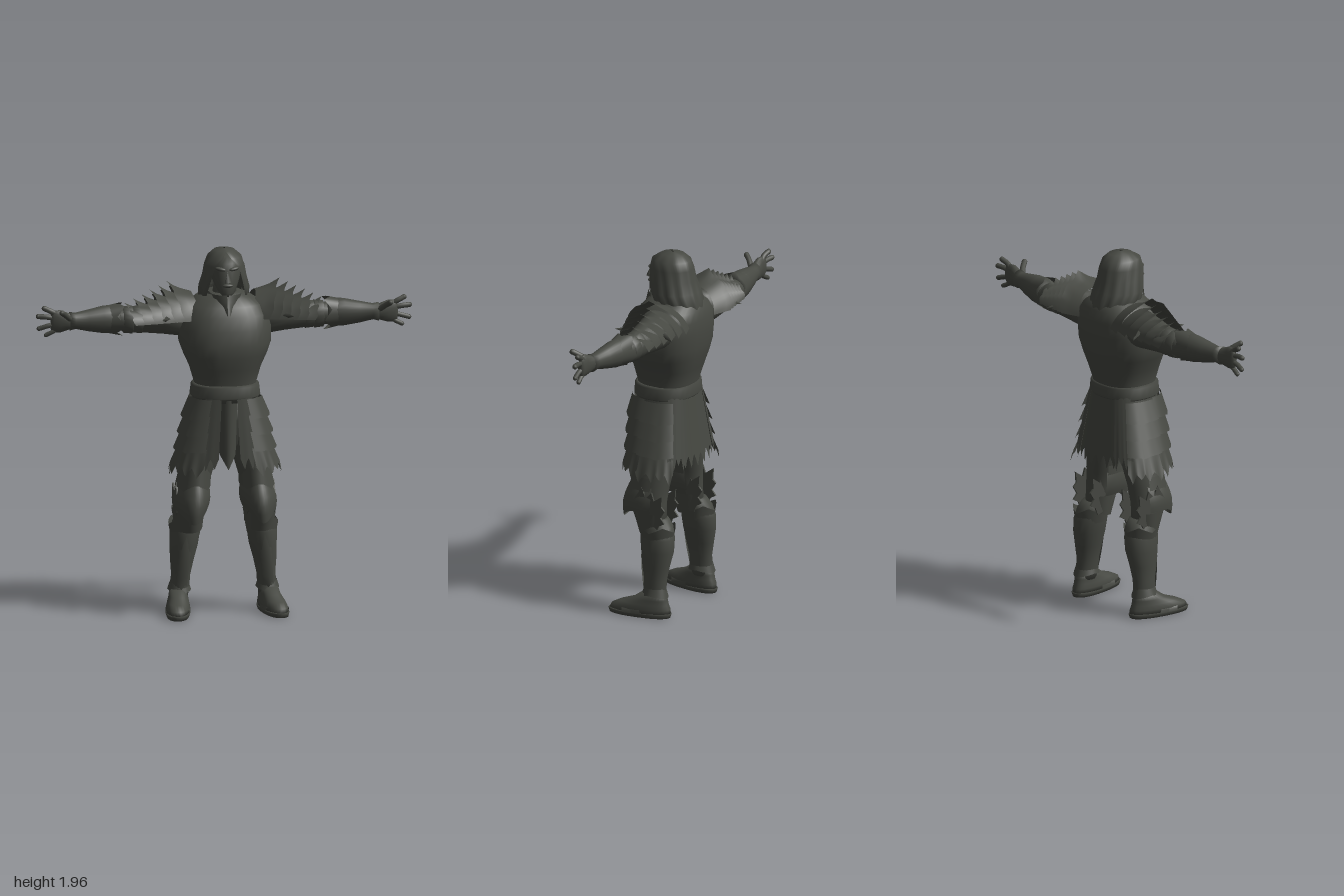
import * as THREE from 'three';

const steel = new THREE.MeshStandardMaterial({ color: 0x464842, side: THREE.DoubleSide });
steel.name = 'dark steel';
const { sin, cos, PI, abs, max, pow, sign } = Math;
const lerp = THREE.MathUtils.lerp;
const rad = THREE.MathUtils.degToRad;

function add(parent, name, geo) {
  const m = new THREE.Mesh(geo, steel);
  m.name = name;
  parent.add(m);
  return m;
}

// Curved sheet: fn(u, v) returns [x, y, z]
function sheet(nu, nv, fn) {
  const pos = [], idx = [];
  for (let j = 0; j <= nv; j++) for (let i = 0; i <= nu; i++) pos.push(...fn(i / nu, j / nv));
  for (let j = 0; j < nv; j++) for (let i = 0; i < nu; i++) {
    const a = j * (nu + 1) + i, b = a + nu + 1;
    idx.push(a, b, a + 1, a + 1, b, b + 1);
  }
  const g = new THREE.BufferGeometry();
  g.setAttribute('position', new THREE.Float32BufferAttribute(pos, 3));
  g.setIndex(idx);
  g.computeVertexNormals();
  return g;
}

// Closed body through elliptical sections [t, centreA, centreB, radiusA, radiusB]
function loft(sections, axis = 'y', n = 20, power = 1) {
  const pos = [], idx = [], rows = sections.length;
  const put = (t, a, b) => (axis === 'y' ? pos.push(a, t, b) : pos.push(t, a, b));
  const tri = (a, b, c) => (axis === 'y' ? idx.push(a, b, c) : idx.push(a, c, b));
  for (const [t, ca, cb, ra, rb] of sections) for (let i = 0; i < n; i++) {
    const q = i / n * 2 * PI, c = cos(q), s = sin(q);
    put(t, ca + ra * sign(c) * pow(abs(c), power), cb + rb * sign(s) * pow(abs(s), power));
  }
  for (const k of [0, rows - 1]) put(...sections[k].slice(0, 3));
  for (let j = 0; j < rows - 1; j++) for (let i = 0; i < n; i++) {
    const a = j * n + i, b = j * n + (i + 1) % n;
    tri(a, a + n, b);
    tri(b, a + n, b + n);
  }
  for (let i = 0; i < n; i++) {
    const k = (i + 1) % n, top = (rows - 1) * n;
    tri(rows * n, i, k);
    tri(rows * n + 1, top + k, top + i);
  }
  const g = new THREE.BufferGeometry();
  g.setAttribute('position', new THREE.Float32BufferAttribute(pos, 3));
  g.setIndex(idx);
  g.computeVertexNormals();
  return g;
}

// Triangle wave 0..1 for torn and pointed edges
const zig = (u, n) => 1 - abs(((u * n) % 1) * 2 - 1);

// Skirt surface; angle measured from the front towards +x
function skirtPoint(deg, y, out) {
  const f = (1.2 - y) / 0.4, a = rad(deg), zf = 0.185 + 0.005 * f, zb = -0.13 - 0.045 * f;
  const round = (v) => sign(v) * pow(abs(v), 0.8);
  return [(0.175 + 0.085 * f + out) * round(sin(a)), y,
    (zf + zb) / 2 + ((zf - zb) / 2 + out) * round(cos(a))];
}
function skirtPanel(parent, name, a0, a1, y0, y1, out0, out1, teeth, depth) {
  add(parent, name, sheet(24, 5, (u, v) => skirtPoint(lerp(a0, a1, u),
    lerp(y0, y1 - depth * zig(u, teeth) * (0.75 + 0.25 * sin(u * 17)), v), lerp(out0, out1, v))));
}

function buildTorso(g) {
  const rings = [[1.15, .165, .165, -.12], [1.25, .165, .175, -.13], [1.33, .188, .195, -.155],
    [1.4, .22, .21, -.175], [1.46, .242, .213, -.187], [1.54, .245, .2, -.193], [1.61, .235, .175, -.19],
    [1.66, .2, .15, -.175], [1.7, .14, .115, -.15], [1.725, .08, .07, -.11]];
  add(g, 'cuirass', loft(rings.map(([y, r, f, b]) => [y, 0, (f + b) / 2, r, (f - b) / 2]), 'y', 32, 0.85));
  add(g, 'breastplateRidge', sheet(2, 8, (u, v) => [(u - .5) * .06, lerp(1.27, 1.66, v),
    lerp(.168, .14, v) + .045 * sin(v * PI) + (u === .5 ? .008 : -.008)]));
  add(g, 'belt', loft([[1.17, 0, .025, .175, .158], [1.18, 0, .025, .185, .165],
    [1.235, 0, .025, .178, .162], [1.245, 0, .025, .165, .15]], 'y', 32, .85));
  add(g, 'gorget', sheet(32, 2, (u, v) => {
    const a = rad(lerp(8, 352, u)), r = lerp(.12, .085, v);
    return [r * 1.1 * sin(a), lerp(1.65, 1.74, v) - .03 * max(0, cos(a)), -.01 + r * cos(a) * 1.25];
  }));
  for (const s of [-1, 1]) add(g, 'collarFlap', sheet(3, 3, (u, v) => [s * (.005 + .075 * u * (.3 + .7 * v)),
    lerp(1.62, 1.725, v), lerp(.172, .135, v) - .05 * u * u]));
  add(g, 'pelvis', loft([[.86, 0, 0, .05, .06], [.92, 0, 0, .15, .1], [1.05, 0, .01, .17, .12], [1.18, 0, .02, .16, .13]]));
}

function buildHead(g) {
  add(g, 'neck', loft([[1.66, 0, 0, .07, .07], [1.78, 0, .02, .058, .06]]));
  add(g, 'face', loft([[1.715, 0, .105, .02, .02], [1.735, 0, .09, .042, .045], [1.77, 0, .065, .06, .068],
    [1.81, 0, .045, .075, .085], [1.85, 0, .03, .082, .092], [1.89, 0, .02, .085, .094], [1.925, 0, .01, .07, .08]]));
  const nose = add(g, 'nose', new THREE.ConeGeometry(.018, .065, 6));
  nose.position.set(0, 1.825, .134);
  nose.rotation.x = -.2;
  const mouth = add(g, 'mouth', new THREE.SphereGeometry(.024, 12, 8));
  mouth.scale.set(1.2, .45, .6);
  mouth.position.set(0, 1.776, .128);
  for (const s of [-1, 1]) {
    const brow = add(g, 'brow', new THREE.SphereGeometry(.03, 12, 8));
    brow.scale.set(1, .35, .5);
    brow.position.set(s * .036, 1.862, .108);
    brow.rotation.set(0, s * .4, s * .15);
  }
  // Long hair parted over the face, with ragged locks at the hem
  const hair = [[1.955, .005, .01, -.01], [1.945, .055, .06, -.07], [1.915, .09, .11, -.105], [1.87, .105, .125, -.12],
    [1.81, .115, .125, -.13], [1.75, .132, .115, -.15], [1.7, .132, .1, -.168], [1.665, .115, .07, -.17]];
  add(g, 'hair', sheet(48, 7, (u, v) => {
    const k = Math.round(v * 7), [y, r, f, b] = hair[k];
    const a = rad(lerp([0, 0, 14, 36, 44, 46, 52, 62][k], 360 - [0, 0, 14, 36, 44, 46, 52, 62][k], u));
    const w = 1 + .035 * v * sin(u * 60);
    return [r * w * sin(a), y - (k === 7 ? .04 * zig(u, 12) : 0), (f + b) / 2 + (f - b) / 2 * w * cos(a)];
  }));
}

function buildArm(side) {
  add(side, 'upperArm', loft([[.2, 1.58, -.03, .1, .1], [.32, 1.58, -.04, .085, .085], [.44, 1.575, -.045, .07, .065],
    [.53, 1.575, -.045, .06, .058], [.6, 1.58, -.04, .055, .055]], 'x'));
  // Overlapping shoulder lames, each with a spiked rim
  for (let k = 0; k < 6; k++) {
    const t = k / 5, x0 = .135 + .052 * k, ry = lerp(.15, .072, t), rz = lerp(.145, .085, t);
    add(side, 'shoulderLame', sheet(28, 4, (u, v) => {
      const a = rad(lerp(5, 172, u)), spike = v * v * (pow(zig(u, 1), 6) * .02 + .01 * zig(u, 5));
      const r = lerp(.94, 1.1, v) + (v === 1 ? .04 * zig(u, 3) : 0);
      return [x0 + .1 * v + .035 * sin(a) * (1 - t) + spike - .02 * (1 - sin(a)),
        1.575 + (ry * r + spike) * sin(a) - .02 * t, -.045 + rz * r * cos(a) * (1 + .12 * v)];
    }));
  }
  for (const z of [.12, -.2]) {
    const spike = add(side, 'shoulderSpike', new THREE.ConeGeometry(.02, .08, 4));
    spike.position.set(.33, 1.6, z * .9);
    spike.rotation.set(z > 0 ? 1.5 : -1.8, 0, -.5);
  }
  for (const x of [.4, .45, .5]) add(side, 'armLame', loft([[x - .025, 1.575, -.045, .062, .06],
    [x - .015, 1.575, -.045, .075, .07], [x + .03, 1.575, -.045, .07, .065], [x + .035, 1.575, -.045, .05, .05]], 'x'));
  // Vambrace with a flared, pointed cuff
  add(side, 'vambrace', loft([[.55, 1.58, -.04, .06, .055], [.57, 1.583, -.038, .077, .066], [.64, 1.583, -.03, .073, .062],
    [.72, 1.583, -.018, .058, .05], [.79, 1.585, -.008, .043, .038], [.82, 1.585, -.003, .05, .042]], 'x'));
  add(side, 'elbowCuff', sheet(40, 2, (u, v) => {
    const a = u * 2 * PI, r = lerp(.068, .08, v) + .012 * v * zig(u, 5);
    return [lerp(.64, .57, v) - .04 * v * zig(u, 5), 1.583 + r * cos(a), -.035 + r * .85 * sin(a)];
  }));
  // Hand
  add(side, 'palm', loft([[.79, 1.585, -.005, .036, .032], [.83, 1.585, 0, .046, .032], [.87, 1.588, .004, .06, .026],
    [.905, 1.588, .002, .058, .02], [.92, 1.588, 0, .045, .014]], 'x'));
  const finger = (name, r, ...p) => {
    const pts = p.map((q) => new THREE.Vector3(...q));
    add(side, name, new THREE.TubeGeometry(new THREE.CatmullRomCurve3(pts), 8, r, 8));
    const tip = add(side, name + 'Tip', new THREE.SphereGeometry(r, 8, 6));
    tip.position.copy(pts[pts.length - 1]);
  };
  finger('indexFinger', .014, [.89, 1.625, 0], [.92, 1.642, .004], [.955, 1.658, -.004]);
  finger('middleFinger', .014, [.89, 1.603, 0], [.94, 1.612, .002], [.985, 1.615, -.006]);
  finger('ringFinger', .013, [.89, 1.575, 0], [.935, 1.565, .002], [.982, 1.55, -.006]);
  finger('littleFinger', .012, [.88, 1.553, 0], [.91, 1.533, .002], [.945, 1.515, -.004]);
  finger('thumb', .015, [.82, 1.6, .02], [.85, 1.628, .05], [.872, 1.648, .08]);
}

function buildLeg(side) {
  add(side, 'thigh', loft([[.5, .185, -.01, .06, .06], [.6, .18, .01, .07, .075], [.7, .165, .02, .08, .095],
    [.82, .14, .015, .09, .11], [.95, .115, .01, .09, .11], [1.02, .1, .01, .07, .1]]));
  // Thigh and knee lames wrapping the front, with a raised central ridge
  const lames = [[.84, .73, .088, .115], [.78, .66, .09, .128], [.71, .54, .092, .155]];
  lames.forEach(([y0, y1, rx, rz], k) => add(side, k === 2 ? 'kneeCop' : 'kneeLame', sheet(24, 5, (u, v) => {
    const a = rad(lerp(-105, 105, u)), ridge = pow(max(0, cos(a)), 4), swell = k === 2 ? .8 + .25 * sin(v * 2.4) : lerp(.93, 1.03, v);
    return [lerp(.15, .183, (.84 - lerp(y0, y1, v)) / .3) + rx * swell * sin(a),
      lerp(y0, y1, v) - .035 * ridge * v + .03 * (1 - ridge) * v + .015 * ridge * (1 - v),
      .015 + rz * swell * cos(a) * (1 + .1 * ridge * v)];
  })));
  add(side, 'lowerKneeLame', sheet(24, 3, (u, v) => {
    const a = rad(lerp(-120, 120, u)), r = lerp(.088, .074, v);
    return [.19 + r * sin(a), lerp(.57, .46, v) - .02 * cos(a) * v, -.01 + (r + lerp(.045, .01, v) * max(0, cos(a))) * cos(a)];
  }));
  // Spiked fan plate beside the knee
  const fan = new THREE.Shape([[.08, .63], [.03, .71], [.005, .65], [-.03, .69], [-.045, .645], [-.095, .68], [-.09, .62],
    [-.11, .6], [-.085, .56], [-.11, .53], [-.075, .51], [-.06, .47], [0, .49], [.06, .55]].map((p) => new THREE.Vector2(...p)));
  for (const x of [.262, .125]) {
    const m = add(side, 'kneeFan', new THREE.ExtrudeGeometry(fan, { depth: .01, bevelEnabled: false }));
    m.rotation.y = -PI / 2;
    m.position.x = x;
  }
  // Greave and boot
  add(side, 'greave', loft([[.09, .232, -.04, .045, .06], [.14, .232, -.035, .052, .065], [.2, .226, -.035, .05, .064],
    [.28, .22, -.035, .062, .078], [.36, .21, -.038, .074, .092], [.43, .205, -.035, .08, .096], [.49, .195, -.03, .075, .085],
    [.53, .19, -.025, .06, .06]]));
  add(side, 'shinRidge', sheet(2, 6, (u, v) => [lerp(.232, .2, v) + (u - .5) * .06, lerp(.13, .5, v),
    lerp(.026, .05, v) + .015 * sin(v * PI) + (u === .5 ? .006 : -.012)]));
  add(side, 'greaveRim', sheet(32, 2, (u, v) => {
    const a = u * 2 * PI, r = lerp(.078, .088, v);
    return [.203 + r * sin(a), lerp(.42, .47, v) + .035 * v * zig(u, 4), -.033 + r * 1.12 * cos(a)];
  }));
  add(side, 'ankleRim', sheet(32, 2, (u, v) => {
    const a = u * 2 * PI, r = lerp(.05, .062, v);
    return [.234 + r * sin(a), lerp(.16, .105, v) + .02 * zig(u, 2) * v, -.037 + r * 1.2 * cos(a)];
  }));
  const foot = new THREE.Group();
  foot.name = 'foot';
  foot.position.set(.24, 0, -.03);
  foot.rotation.y = .16;
  side.add(foot);
  add(foot, 'sole', loft([[0, 0, .075, .06, .17], [.02, 0, .075, .066, .176], [.025, 0, .075, .06, .17]], 'y', 28, .85));
  add(foot, 'boot', loft([[.02, 0, .075, .062, .172], [.045, 0, .07, .063, .165], [.07, 0, .05, .057, .135],
    [.095, 0, .015, .05, .095], [.13, 0, -.005, .046, .066]], 'y', 28, .9));
  for (const z of [.1, .05]) add(foot, 'bootLame', sheet(14, 2, (u, v) => {
    const a = lerp(-PI / 2, PI / 2, u);
    return [.066 * sin(a), .02 + (.075 - (z - .05) * .35 - .012 * v) * cos(a), z + .05 * v + .015 * cos(a)];
  }));
}

function buildSkirtSide(side) {
  // Tiered side tassets
  for (let k = 0; k < 4; k++) {
    const y = 1.175 - .088 * k;
    skirtPanel(side, 'frontTasset', 24, 84, y, y - .1, .01, .032, k === 3 ? 4 : 1, k === 3 ? .055 : .012);
    skirtPanel(side, 'rearTasset', 80, 132, y - .01, y - .11, .006, .027, k === 3 ? 4 : 1, k === 3 ? .055 : .012);
  }
  // Torn cloth strips
  skirtPanel(side, 'frontCloth', 9, 38, 1.19, .86, 0, .005, 3, .07);
  skirtPanel(side, 'sideCloth', 38, 130, 1.19, .85, -.01, -.005, 7, .07);
  skirtPanel(side, 'rearCloth', 122, 154, 1.2, .88, .004, .012, 4, .08);
  skirtPanel(side, 'backCloth', 150, 181, 1.2, .87, 0, .004, 3, .07);
}

export function createModel() {
  const model = new THREE.Group();
  model.name = 'armouredFigure';
  buildTorso(model);
  buildHead(model);
  add(model, 'frontTongue', sheet(8, 6, (u, v) => [(u - .5) * lerp(.1, .085, v), lerp(1.2, .87 - .08 * zig(u, 1), v),
    lerp(.17, .15, v) - .03 * pow(2 * u - 1, 2)]));
  for (const s of [1, -1]) {
    const side = new THREE.Group();
    side.name = s > 0 ? 'leftSide' : 'rightSide';
    side.scale.x = s;
    buildArm(side);
    buildLeg(side);
    buildSkirtSide(side);
    model.add(side);
  }
  return model;
}
